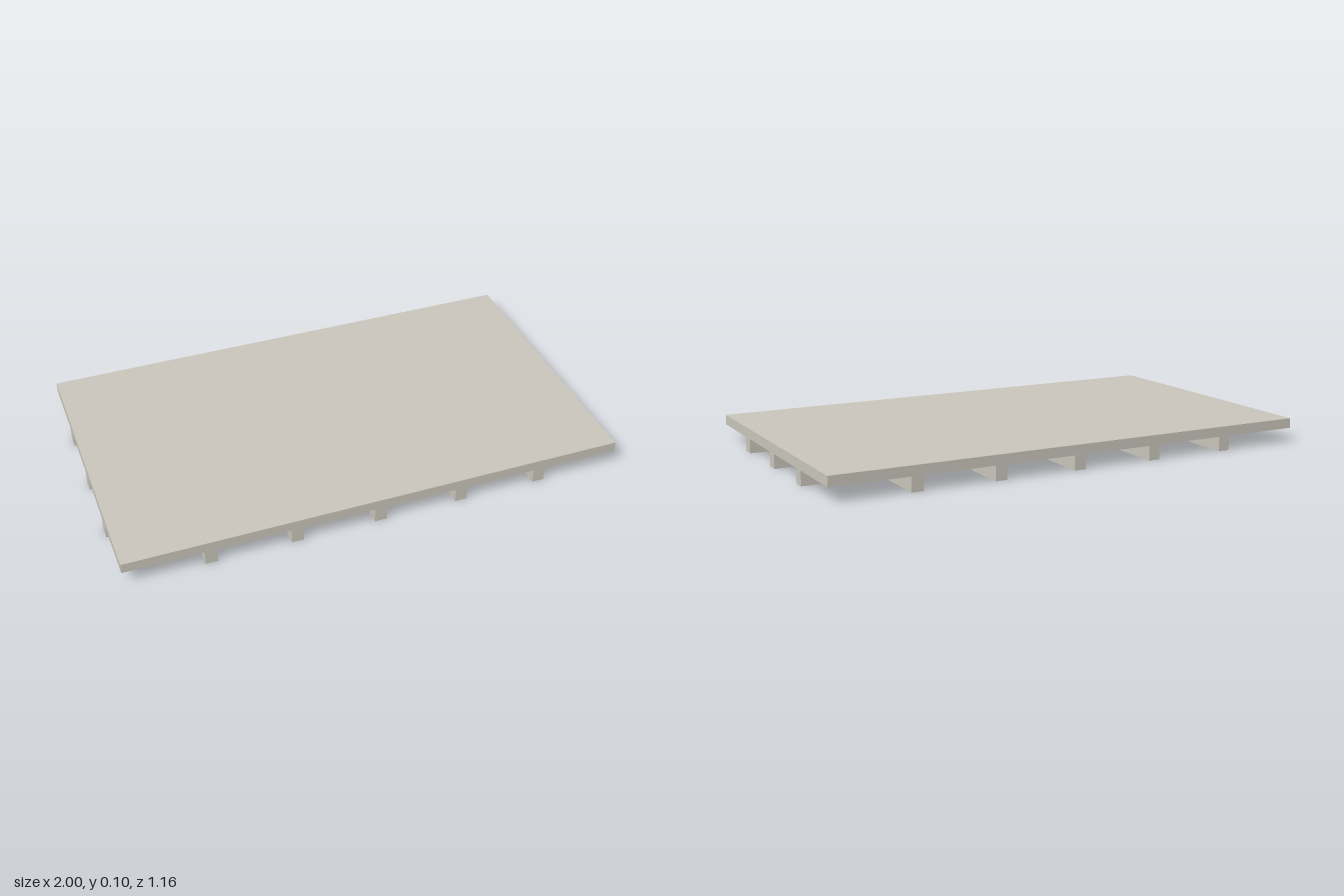
import * as THREE from 'three';

export function createModel() {
  const root = new THREE.Group();
  root.name = 'waffleSlab';
  const concrete = new THREE.MeshStandardMaterial({ color: 0xc8c4ba });
  concrete.name = 'concrete';

  const W = 2, D = 1.162, H = 0.098;      // overall size
  const ribH = 0.058, ribW = 0.048;       // downstand ribs
  const recess = 0.015, inset = 0.022;    // shallow panel recess in every bay
  const cols = 6, rows = 4;

  const add = (name, geometry, x, y, z) => {
    const mesh = new THREE.Mesh(geometry, concrete);
    mesh.name = name;
    mesh.position.set(x, y, z);
    root.add(mesh);
  };

  // Clear extent of bay i between its ribs (outer bays reach the slab edge)
  const bay = (i, n, size) => [
    -size / 2 + (i * size) / n + (i > 0 ? ribW / 2 : 0),
    -size / 2 + ((i + 1) * size) / n - (i < n - 1 ? ribW / 2 : 0),
  ];

  // Top plate
  const topH = H - ribH - recess;
  add('topPlate', new THREE.BoxGeometry(W, topH, D), 0, H - topH / 2, 0);

  // Soffit layer with a rectangular opening per bay, and a round boss in each
  const soffit = new THREE.Shape([
    new THREE.Vector2(-W / 2, -D / 2), new THREE.Vector2(W / 2, -D / 2),
    new THREE.Vector2(W / 2, D / 2), new THREE.Vector2(-W / 2, D / 2),
  ]);
  const bossH = 0.008;
  for (let i = 0; i < cols; i++) {
    for (let j = 0; j < rows; j++) {
      const [x0, x1] = bay(i, cols, W);
      const [z0, z1] = bay(j, rows, D);
      soffit.holes.push(new THREE.Path([
        new THREE.Vector2(x0 + inset, z0 + inset), new THREE.Vector2(x0 + inset, z1 - inset),
        new THREE.Vector2(x1 - inset, z1 - inset), new THREE.Vector2(x1 - inset, z0 + inset),
      ]));
      add('bayBoss', new THREE.CylinderGeometry(0.023, 0.023, bossH, 24),
        (x0 + x1) / 2, ribH + recess - bossH / 2, (z0 + z1) / 2);
    }
  }
  const soffitGeometry = new THREE.ExtrudeGeometry(soffit, { depth: recess, bevelEnabled: false });
  soffitGeometry.rotateX(-Math.PI / 2);
  add('soffit', soffitGeometry, 0, ribH, 0);

  // Ribs running front to back
  for (let i = 1; i < cols; i++) {
    add('crossRib', new THREE.BoxGeometry(ribW, ribH, D), -W / 2 + (i * W) / cols, ribH / 2, 0);
  }
  // Ribs running side to side
  for (let j = 1; j < rows; j++) {
    add('longRib', new THREE.BoxGeometry(W, ribH, ribW), 0, ribH / 2, -D / 2 + (j * D) / rows);
  }
  return root;
}
